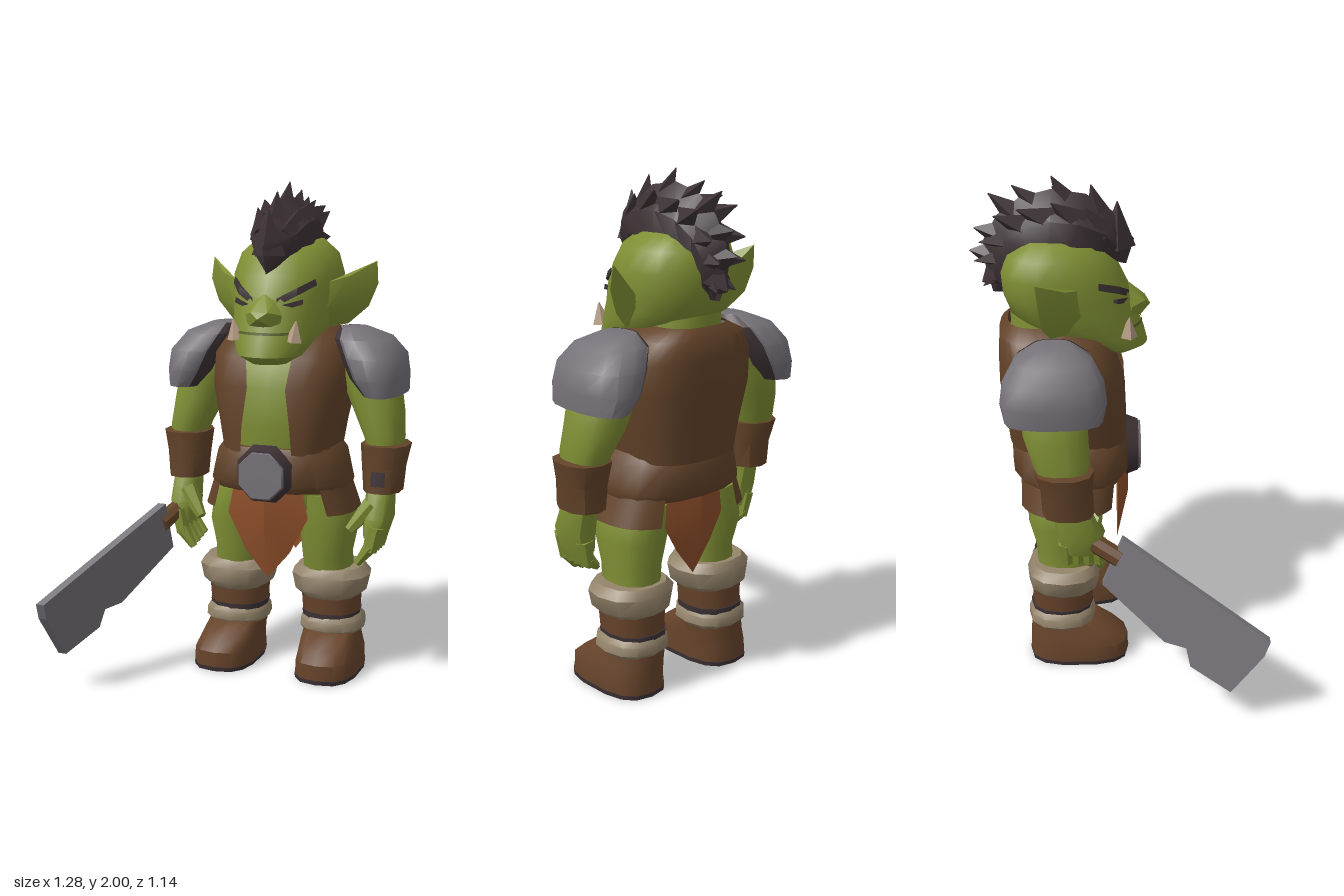
import * as THREE from 'three';
import { toCreasedNormals } from 'three/addons/utils/BufferGeometryUtils.js';
import { ConvexGeometry } from 'three/addons/geometries/ConvexGeometry.js';

const V = (x, y, z) => new THREE.Vector3(x, y, z);
const mat = (name, color, side = THREE.FrontSide) => {
  const m = new THREE.MeshStandardMaterial({ color, side });
  m.name = name;
  return m;
};

// Joins closed or open rings of points into one surface, capped when closed
function skinRings(rings, closed = true) {
  const n = rings[0].length, pos = [], idx = [];
  rings.flat().forEach(p => pos.push(p.x, p.y, p.z));
  for (let r = 0; r < rings.length - 1; r++)
    for (let i = 0; i < (closed ? n : n - 1); i++) {
      const j = (i + 1) % n, a = r * n + i, b = r * n + j;
      idx.push(a, b, b + n, a, b + n, a + n);
    }
  if (closed) [0, rings.length - 1].forEach((r, top) => {
    const c = rings[r].reduce((s, p) => s.add(p), V(0, 0, 0)).divideScalar(n);
    const k = pos.length / 3;
    pos.push(c.x, c.y, c.z);
    for (let i = 0; i < n; i++) {
      const a = r * n + i, b = r * n + (i + 1) % n;
      idx.push(k, top ? a : b, top ? b : a);
    }
  });
  const g = new THREE.BufferGeometry();
  g.setAttribute('position', new THREE.Float32BufferAttribute(pos, 3));
  g.setIndex(idx);
  return toCreasedNormals(g, 0.75);
}

// Rows are [y, centre x, centre z, radius x, radius z, front gap angle], from bottom to top
function loft(rows, { n = 14, e = 0.85, taper = 0, arc = null, grow = 0 } = {}) {
  const pw = v => Math.sign(v) * Math.abs(v) ** e;
  const count = arc ? n + 1 : n, [a0, a1] = arc || [0, Math.PI * 2];
  return skinRings(rows.map(([y, cx, cz, rx, rz, gap = 0]) => Array.from({ length: count }, (_, i) => {
    const a = a0 + gap + (a1 - a0 - 2 * gap) * i / n, c = pw(Math.cos(a));
    return V(cx + (rx + grow) * pw(Math.sin(a)) * (1 - taper * c), y, cz + (rz + grow) * c);
  })), !arc);
}

const hull = (pts, s = 1) =>
  toCreasedNormals(new ConvexGeometry(pts.map(([x, y, z]) => V(x * s, y, z))), 0.5);

// Tapered rod between two points
function rod(a, b, r0, r1, n = 6) {
  const p = V(...a), d = V(...b).sub(p), g = new THREE.CylinderGeometry(r1, r0, d.length(), n);
  g.translate(0, d.length() / 2, 0);
  g.applyQuaternion(new THREE.Quaternion().setFromUnitVectors(V(0, 1, 0), d.normalize()));
  return toCreasedNormals(g.translate(p.x, p.y, p.z), 0.75);
}

export function createModel() {
  const model = new THREE.Group(), body = new THREE.Group();
  model.name = 'warrior';
  body.name = 'body';
  body.position.x = 0.115;
  model.add(body);
  const skin = mat('skin green', 0x7f8f34), shade = mat('mouth green', 0x56622a, THREE.DoubleSide);
  const leather = mat('brown leather', 0x634329, THREE.DoubleSide), boot = mat('boot leather', 0x66432a);
  const dark = mat('dark hair and trim', 0x3d3235, THREE.DoubleSide), steel = mat('grey steel', 0x767279);
  const fur = mat('pale fur', 0x94846b), cloth = mat('rust cloth', 0x8f4f2a), ivory = mat('tusk ivory', 0xb59c85);
  const add = (name, geo, m, parent = body) => {
    const mesh = new THREE.Mesh(geo, m);
    mesh.name = name;
    parent.add(mesh);
  };

  // Torso, neck and hips
  add('torso', loft([[0.78, 0, -0.2, 0.22, 0.19], [0.95, 0, -0.2, 0.2, 0.21], [1.05, 0, -0.2, 0.23, 0.225],
    [1.2, 0, -0.215, 0.265, 0.23], [1.33, 0, -0.24, 0.26, 0.21], [1.41, 0, -0.26, 0.18, 0.16]], { n: 20, e: 0.8 }), skin);
  add('neck', loft([[1.3, 0, -0.25, 0.17, 0.17], [1.5, 0, -0.25, 0.15, 0.17]]), skin);
  add('hips', loft([[0.62, 0, -0.2, 0.13, 0.12], [0.7, 0, -0.2, 0.25, 0.155], [0.82, 0, -0.2, 0.24, 0.175]]), skin);

  // Open vest, narrowest over the chest
  add('vest', loft([[0.93, 0, -0.2, 0.23, 0.237, 0.34], [1.05, 0, -0.205, 0.25, 0.245, 0.27],
    [1.2, 0, -0.22, 0.283, 0.25, 0.16], [1.32, 0, -0.235, 0.283, 0.235, 0.21], [1.4, 0, -0.26, 0.235, 0.205, 0.42],
    [1.44, 0, -0.28, 0.15, 0.15, 0.6]], { n: 26, e: 0.69, arc: [0, Math.PI * 2] }), leather);

  // Belt, skirt flaps, buckle and loincloths
  add('belt', loft([[0.78, 0, -0.19, 0.28, 0.22], [0.81, 0, -0.19, 0.292, 0.24], [0.92, 0, -0.19, 0.265, 0.24],
    [0.96, 0, -0.19, 0.235, 0.22]], { n: 18, e: 0.8 }), leather);
  for (const s of [1, -1]) {
    const arc = s > 0 ? [0.75, 2.6] : [-2.6, -0.75];
    add('skirtFlap', loft([[0.69, 0, -0.2, 0.318, 0.215], [0.82, 0, -0.19, 0.272, 0.22]], { n: 12, e: 0.72, arc }), leather);
  }
  [['buckleRim', 0.125, 0.05, 0.06, dark], ['buckle', 0.115, 0.05, 0.07, steel]].forEach(([name, r, d, z, m]) =>
    add(name, new THREE.CylinderGeometry(r * 0.85, r, d, 8).rotateY(Math.PI / 8).rotateX(Math.PI / 2)
      .translate(0, 0.86, z), m));
  const loin = (z, ridge, w, tip) => hull([1, -1].flatMap(s => [[s * w * 0.85, 0.8, z], [s * w, 0.68, z],
    [s * w * 0.55, tip + 0.11, z]]).concat([[0, tip, z], [0, 0.8, ridge], [0, 0.64, ridge]]));
  add('frontLoincloth', loin(0.0, 0.045, 0.17, 0.42), cloth);
  add('backLoincloth', loin(-0.355, -0.4, 0.155, 0.45), cloth);

  // Head with heavy jaw
  add('head', loft([[1.3, 0, 0.0, 0.07, 0.06], [1.335, 0, 0.0, 0.13, 0.12], [1.4, 0, -0.1, 0.175, 0.203],
    [1.48, 0, -0.175, 0.2, 0.245], [1.56, 0, -0.2, 0.212, 0.25], [1.64, 0, -0.222, 0.217, 0.235],
    [1.72, 0, -0.235, 0.193, 0.2], [1.775, 0, -0.245, 0.135, 0.13], [1.79, 0, -0.245, 0.05, 0.05]],
    { n: 20, e: 0.9, taper: 0.16 }), skin);
  add('nose', hull([[0, 1.575, 0.045], [0.045, 1.56, 0.03], [-0.045, 1.56, 0.03], [0.035, 1.51, 0.11], [-0.035, 1.51, 0.11],
    [0.075, 1.495, 0.055], [-0.075, 1.495, 0.055], [0.07, 1.465, 0.055], [-0.07, 1.465, 0.055], [0, 1.485, 0.13],
    [0.045, 1.455, 0.09], [-0.045, 1.455, 0.09], [0, 1.45, 0.08]]), skin);
  add('mouth', loft([[1.42, 0, -0.12, 0.18, 0.212], [1.43, 0, -0.127, 0.183, 0.217]],
    { n: 8, e: 0.9, taper: 0.16, arc: [-0.65, 0.65], grow: 0.006 }), shade);
  for (const s of [1, -1]) {
    add('brow', hull([[0.05, 1.53, 0.045], [0.05, 1.56, 0.045], [0.12, 1.57, 0.014], [0.12, 1.6, 0.002],
      [0.175, 1.605, -0.075], [0.168, 1.63, -0.075], [0.06, 1.55, 0], [0.13, 1.59, -0.06]], s), dark);
    add('eye', hull([[0.07, 1.515, 0.04], [0.07, 1.535, 0.04], [0.14, 1.535, 0], [0.14, 1.555, -0.003],
      [0.07, 1.52, 0.01], [0.13, 1.545, -0.04]], s), dark);
    add('tusk', rod([s * 0.12, 1.395, 0.04], [s * 0.13, 1.475, 0.045], 0.036, 0.003, 5), ivory);
    add('ear', hull([[0.19, 1.61, -0.15], [0.19, 1.5, -0.14], [0.19, 1.43, -0.2], [0.19, 1.54, -0.26],
      [0.27, 1.635, -0.2], [0.352, 1.69, -0.31], [0.36, 1.6, -0.3], [0.325, 1.51, -0.29], [0.25, 1.44, -0.26]], s), skin);
  }

  // Mohawk: [crest z, crest y, base z, base y, half width]
  const crest = [[0.035, 1.65, 0, 1.66, 0.005], [0.065, 1.75, -0.05, 1.7, 0.06], [0, 1.85, -0.1, 1.75, 0.105],
    [-0.12, 1.93, -0.18, 1.76, 0.127], [-0.25, 1.95, -0.26, 1.76, 0.127], [-0.37, 1.92, -0.34, 1.74, 0.117],
    [-0.46, 1.85, -0.39, 1.7, 0.1], [-0.515, 1.75, -0.42, 1.64, 0.077], [-0.51, 1.65, -0.43, 1.58, 0.055],
    [-0.485, 1.54, -0.44, 1.54, 0.008]];
  const mix = (a, b, t) => a + (b - a) * t;
  add('mohawk', skinRings(crest.map(([cz, cy, bz, by, w]) => {
    const my = mix(by, cy, 0.5), mz = mix(bz, cz, 0.5);
    return [V(-w, by, bz), V(-w * 0.9, my, mz), V(0, cy, cz), V(w * 0.9, my, mz), V(w, by, bz)];
  })), dark);
  const tips = [[0.0, 1.9], [-0.1, 1.965], [-0.25, 2.0], [-0.4, 1.965], [-0.49, 1.935], [-0.55, 1.8],
    [-0.57, 1.71], [-0.525, 1.58]];
  tips.forEach(([z, y], i) => {
    const [cz, cy, bz, by, w] = crest[i + 1];
    const oy = mix(by, cy, 0.45), oz = mix(bz, cz, 0.45);
    add('hairSpike', rod([0, oy, oz], [0, y, z], 0.07, 0.002, 4), dark);
    for (const s of [1, -1])
      add('sideSpike', rod([s * w * 0.45, oy, oz], [s * w * 0.85, mix(by, y, 0.7), mix(bz, z, 0.72) - 0.02],
        w * 0.5, 0.002, 4), dark);
  });

  for (const s of [1, -1]) {
    // Arm and bracer
    add('arm', loft([[0.92, s * 0.43, -0.215, 0.065, 0.085], [1.0, s * 0.42, -0.225, 0.08, 0.11],
      [1.1, s * 0.39, -0.245, 0.1, 0.125], [1.2, s * 0.36, -0.25, 0.115, 0.13], [1.32, s * 0.3, -0.25, 0.11, 0.12]]), skin);
    add('bracer', loft([[0.78, s * 0.425, -0.2, 0.077, 0.101], [0.88, s * 0.425, -0.205, 0.086, 0.101],
      [0.97, s * 0.43, -0.215, 0.099, 0.116], [0.975, s * 0.43, -0.215, 0.07, 0.09]], { n: 10 }), leather);

    // Shoulder guard, dark along its inner edge
    const guard = [[1.17, s * 0.42, -0.25, 0.075, 0.185], [1.24, s * 0.392, -0.25, 0.108, 0.203],
      [1.32, s * 0.367, -0.25, 0.126, 0.192], [1.39, s * 0.322, -0.25, 0.112, 0.15], [1.43, s * 0.28, -0.25, 0.052, 0.075]];
    const inner = -s * Math.PI / 2;
    add('shoulderGuard', loft(guard), steel);
    add('guardEdge', loft(guard, { n: 8, arc: [inner - 1.05, inner + 1.05], grow: 0.004 }), dark);

    // Hand with thumb and fingers
    add('palm', loft([[0.6, s * 0.41, -0.15, 0.045, 0.085], [0.68, s * 0.42, -0.155, 0.06, 0.09],
      [0.8, s * 0.42, -0.19, 0.055, 0.075]], { n: 10 }), skin);
    for (let i = 0; i < 4; i++) {
      const z = -0.085 - i * 0.042;
      add('finger', rod([s * 0.425, 0.65, z], [s * 0.405, 0.55, z + 0.005], 0.036, 0.029), skin);
      add('fingertip', rod([s * 0.408, 0.57, z + 0.005], [s * 0.355, 0.495 + 0.01 * i, z + 0.01], 0.031, 0.015), skin);
    }
    add('thumb', rod([s * 0.4, 0.73, -0.12], [s * 0.32, 0.63, -0.075], 0.042, 0.02), skin);

    // Leg and fur-trimmed boot
    add('leg', loft([[0.38, s * 0.2, -0.22, 0.1, 0.115], [0.5, s * 0.19, -0.21, 0.1, 0.125],
      [0.62, s * 0.195, -0.215, 0.118, 0.15], [0.7, s * 0.18, -0.213, 0.122, 0.152], [0.76, s * 0.16, -0.21, 0.115, 0.15]]), skin);
    add('upperFur', loft([[0.315, s * 0.205, -0.225, 0.115, 0.12], [0.345, s * 0.205, -0.225, 0.15, 0.145],
      [0.41, s * 0.205, -0.225, 0.165, 0.15], [0.445, s * 0.205, -0.225, 0.135, 0.13]], { n: 12 }), fur);
    add('bootShaft', loft([[0.14, s * 0.205, -0.235, 0.11, 0.12], [0.34, s * 0.205, -0.23, 0.125, 0.127]], { n: 12 }), boot);
    add('bootTrim', loft([[0.225, s * 0.205, -0.235, 0.118, 0.127], [0.25, s * 0.205, -0.235, 0.122, 0.128]], { n: 12 }), dark);
    add('lowerFur', loft([[0.16, s * 0.21, -0.235, 0.115, 0.122], [0.18, s * 0.21, -0.235, 0.135, 0.138],
      [0.215, s * 0.21, -0.235, 0.132, 0.138], [0.235, s * 0.21, -0.235, 0.115, 0.125]], { n: 12 }), fur);
    add('foot', loft([[0.015, s * 0.222, -0.165, 0.128, 0.205], [0.08, s * 0.222, -0.165, 0.125, 0.203],
      [0.125, s * 0.215, -0.19, 0.117, 0.175], [0.18, s * 0.208, -0.235, 0.11, 0.125]], { e: 0.72 }), boot);
    add('sole', loft([[0, s * 0.222, -0.165, 0.127, 0.204], [0.018, s * 0.222, -0.165, 0.13, 0.207]], { e: 0.72 }), dark);
  }
  // Worn patch on the left bracer
  add('bracerPatch', loft([[0.81, 0.425, -0.202, 0.08, 0.101], [0.87, 0.425, -0.205, 0.085, 0.101]],
    { n: 4, arc: [-0.25, 0.3], grow: 0.004 }), dark);

  // Cleaver: outline in (z, y), leaned outward
  const lean = (z, y) => -0.46 - 0.4 * z + 0.17 * y;
  const outline = [[0.01, 0.69], [0.567, 0.39], [0.545, 0.325], [0.424, 0.145], [0.27, 0.217], [0.254, 0.29],
    [0.17, 0.297], [-0.07, 0.485]];
  const geo = new THREE.ExtrudeGeometry(new THREE.Shape(outline.map(([z, y]) => new THREE.Vector2(-z, y))),
    { depth: 0.034, bevelEnabled: false }).translate(0, 0, -0.017).rotateY(Math.PI / 2);
  const p = geo.attributes.position;
  for (let i = 0; i < p.count; i++) p.setX(i, p.getX(i) + lean(p.getZ(i), p.getY(i)));
  geo.computeVertexNormals();
  add('cleaverBlade', geo, steel, model);
  add('cleaverHandle', rod([lean(-0.2, 0.7) - 0.02, 0.7, -0.2], [lean(0, 0.6), 0.6, 0], 0.038, 0.038, 8), leather, model);
  return model;
}
